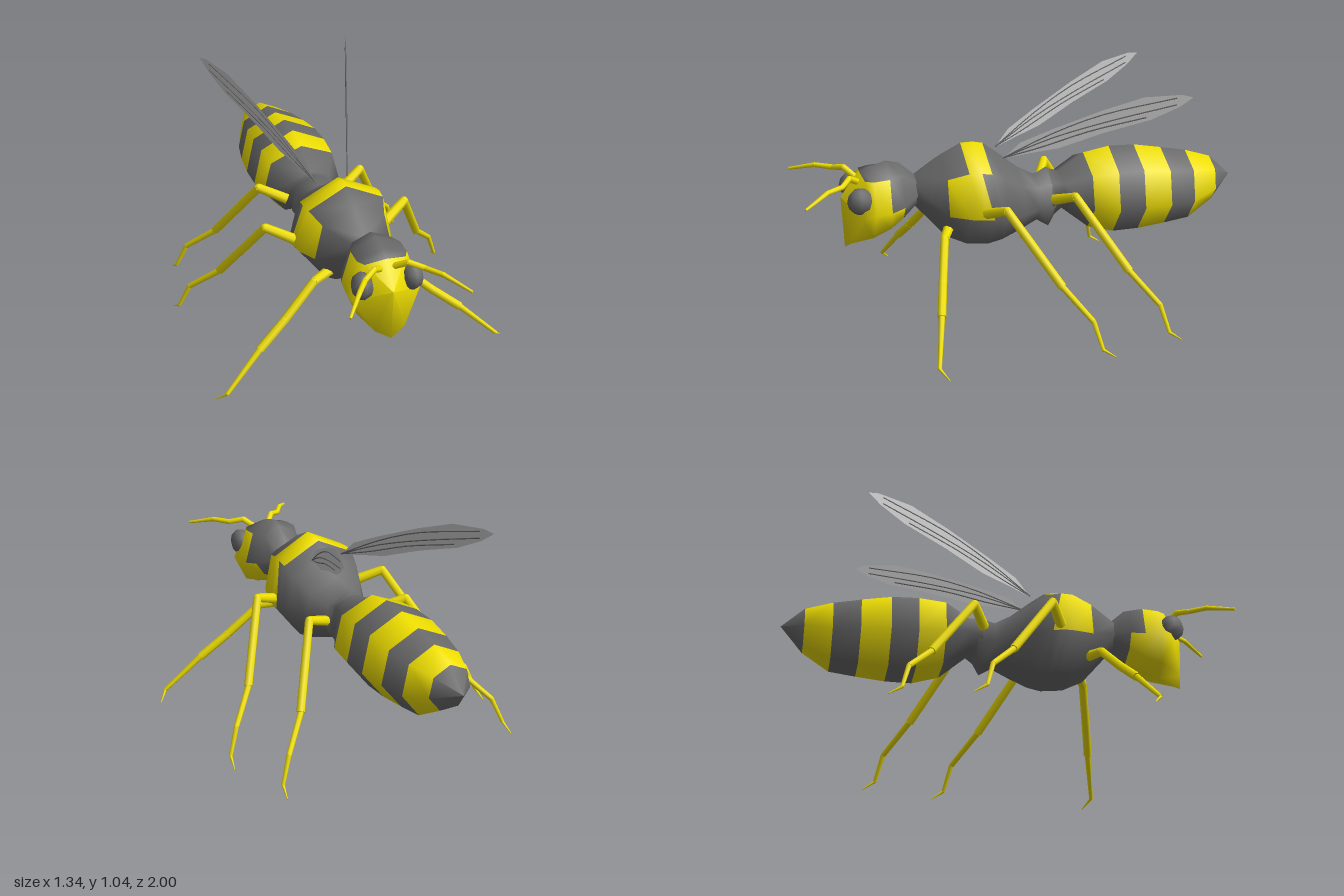
import * as THREE from 'three';

const DARK = new THREE.MeshStandardMaterial({ color: 0x6b6b6b });
const YELLOW = new THREE.MeshStandardMaterial({ color: 0xf0e000 });
const WING = new THREE.MeshStandardMaterial({ color: 0xcccccc, side: THREE.DoubleSide });
const V = (a) => new THREE.Vector3(...a);

// Skin over rings that run from back to front, smooth, with two colours.
// isYellow(ring, facet, k): facet counts down from the top, k = 1 is the front lower triangle.
function loft(name, rings, isYellow) {
  const n = rings[0].length;
  const lists = [[], []];
  for (let i = 0; i < rings.length - 1; i++) {
    for (let j = 0; j < n; j++) {
      const a = i * n + j, c = i * n + (j + 1) % n, b = a + n, d = c + n;
      const tris = j < n / 2 ? [[a, b, c], [b, d, c]] : [[a, d, c], [a, b, d]];
      tris.forEach((t, k) => lists[isYellow(i, Math.min(j, n - 1 - j), k) ? 1 : 0].push(...t));
    }
  }
  const geo = new THREE.BufferGeometry();
  geo.setAttribute('position', new THREE.Float32BufferAttribute(rings.flat(2), 3));
  geo.setIndex([...lists[0], ...lists[1]]);
  geo.addGroup(0, lists[0].length, 0);
  geo.addGroup(lists[0].length, lists[1].length, 1);
  geo.computeVertexNormals();
  const mesh = new THREE.Mesh(geo, [DARK, YELLOW]);
  mesh.name = name;
  return mesh;
}

// Seven-sided ring with a corner on top
function heptagon([z, top, bottom, halfWidth]) {
  const ry = (top - bottom) / 1.901, rx = halfWidth / 0.975;
  return Array.from({ length: 7 }, (_, j) => {
    const t = j / 7 * Math.PI * 2;
    return [rx * Math.sin(t), top - ry + ry * Math.cos(t), z];
  });
}

// Ring from a right-hand half outline, top to bottom
const mirrorRing = (half) => [...half, ...half.slice(1, -1).reverse().map(([x, y, z]) => [-x, y, z])];

// Chain of tapered segments; radii holds [start, end] for each one
function limb(name, points, radii) {
  const group = new THREE.Group();
  group.name = name;
  radii.forEach(([r0, r1], i) => {
    const a = V(points[i]), b = V(points[i + 1]);
    const dir = b.clone().sub(a);
    const seg = new THREE.Mesh(new THREE.CylinderGeometry(r1, r0, dir.length(), 7), YELLOW);
    seg.position.copy(a).add(b).multiplyScalar(0.5);
    seg.quaternion.setFromUnitVectors(new THREE.Vector3(0, 1, 0), dir.normalize());
    seg.name = 'segment';
    group.add(seg);
    if (i > 0) {
      const joint = new THREE.Mesh(new THREE.SphereGeometry(r0, 7, 5), YELLOW);
      joint.position.copy(a);
      joint.name = 'joint';
      group.add(joint);
    }
  });
  return group;
}

// Thin upright wing leaning outward, with raised veins
function wing() {
  const group = new THREE.Group();
  group.name = 'wing';
  const place = ([z, y]) => [0.07 + (0.11 - z) * 0.37, y, z];
  const outline = [[0.1, 0.735], [0.03, 0.81], [-0.1, 0.875], [-0.3, 0.965], [-0.47, 1.03], [-0.62, 1.045],
    [-0.665, 1.035], [-0.61, 0.99], [-0.5, 0.93], [-0.31, 0.865], [-0.13, 0.79], [-0.02, 0.765]];
  const geo = new THREE.ShapeGeometry(new THREE.Shape(outline.map((p) => new THREE.Vector2(...p))));
  const pos = geo.attributes.position;
  for (let i = 0; i < pos.count; i++) pos.setXYZ(i, ...place([pos.getX(i), pos.getY(i)]));
  geo.computeVertexNormals();
  const blade = new THREE.Mesh(geo, WING);
  blade.name = 'wingBlade';
  group.add(blade);
  const veins = [
    [[0.1, 0.738], [-0.1, 0.855], [-0.3, 0.945], [-0.6, 1.03]],
    [[0.1, 0.738], [-0.1, 0.835], [-0.32, 0.915], [-0.6, 1.0]],
    [[0.1, 0.738], [-0.05, 0.79], [-0.25, 0.87], [-0.48, 0.94]],
  ];
  for (const vein of veins) {
    const curve = new THREE.CatmullRomCurve3(vein.map((p) => V(place(p))));
    const mesh = new THREE.Mesh(new THREE.TubeGeometry(curve, 10, 0.003, 4), DARK);
    mesh.name = 'wingVein';
    group.add(mesh);
  }
  return group;
}

// Everything that comes in pairs, built on the +x side
function sideParts() {
  const group = new THREE.Group();
  const legRadii = [[0.024, 0.02], [0.019, 0.019], [0.014, 0.012], [0.011, 0.008], [0.007, 0.002]];
  const rearLeg = [[0.13, 0.54, -0.12], [0.245, 0.59, -0.18], [0.4, 0.28, -0.38], [0.515, 0.155, -0.485],
    [0.56, 0.04, -0.515], [0.57, 0.003, -0.57]];
  group.add(
    limb('frontLeg', [[0.09, 0.45, 0.35], [0.19, 0.435, 0.395], [0.34, 0.3, 0.44], [0.465, 0.2, 0.475],
      [0.63, 0.045, 0.525], [0.67, 0.003, 0.49]], [[0.024, 0.02], [0.019, 0.019], [0.019, 0.019], [0.014, 0.009], [0.007, 0.002]]),
    limb('middleLeg', rearLeg.map(([x, y, z]) => [x + 0.08, y, z + 0.33]), legRadii),
    limb('hindLeg', rearLeg, legRadii),
    limb('antenna', [[0.025, 0.67, 0.73], [0.075, 0.71, 0.78], [0.13, 0.695, 0.82], [0.18, 0.695, 0.89],
      [0.26, 0.66, 0.995]], [[0.014, 0.014], [0.013, 0.012], [0.012, 0.011], [0.011, 0.006]]),
    wing(),
  );
  const eye = new THREE.Mesh(new THREE.SphereGeometry(1, 8, 6), DARK);
  eye.scale.set(0.047, 0.06, 0.057);
  eye.position.set(0.11, 0.615, 0.742);
  eye.name = 'eye';
  group.add(eye);
  return group;
}

export function createModel() {
  const model = new THREE.Group();
  model.name = 'wasp';

  // Striped abdomen: z, top, bottom, half width
  const abdomen = [[-1, 0.53, 0.53, 0], [-0.9, 0.625, 0.43, 0.1], [-0.78, 0.665, 0.36, 0.15], [-0.66, 0.69, 0.35, 0.175],
    [-0.53, 0.715, 0.34, 0.19], [-0.41, 0.72, 0.34, 0.192], [-0.29, 0.7, 0.375, 0.185], [-0.175, 0.625, 0.465, 0.115],
    [-0.11, 0.645, 0.41, 0.105]];
  model.add(loft('abdomen', abdomen.map(heptagon), (i) => i % 2 === 1 && i < 6));

  // Waist and thorax, with a yellow saddle and side patches
  const thorax = [[-0.175, 0.6, 0.49, 0.09], [-0.115, 0.65, 0.385, 0.11], [-0.06, 0.62, 0.42, 0.11], [0.02, 0.665, 0.39, 0.155],
    [0.11, 0.74, 0.36, 0.2], [0.175, 0.79, 0.35, 0.218], [0.22, 0.8, 0.355, 0.22], [0.275, 0.8, 0.36, 0.212],
    [0.365, 0.755, 0.4, 0.175], [0.49, 0.67, 0.54, 0.07]];
  model.add(loft('thorax', thorax.map(heptagon), (i, facet, k) =>
    (facet === 0 && (i === 5 || i === 6)) || (facet === 1 && ((i === 5 && k === 1) || i === 6 || i === 7))));

  // Head with a pointed yellow face
  const head = [
    [[0, 0.67, 0.48], [0.05, 0.65, 0.48], [0.07, 0.6, 0.48], [0.05, 0.56, 0.48], [0, 0.54, 0.48]],
    [[0, 0.735, 0.55], [0.08, 0.7, 0.55], [0.125, 0.57, 0.55], [0.085, 0.51, 0.55], [0, 0.475, 0.55]],
    [[0, 0.75, 0.61], [0.11, 0.7, 0.61], [0.15, 0.56, 0.61], [0.1, 0.47, 0.61], [0, 0.435, 0.61]],
    [[0, 0.73, 0.68], [0.11, 0.695, 0.68], [0.157, 0.555, 0.68], [0.11, 0.44, 0.69], [0, 0.405, 0.7]],
    [[0, 0.71, 0.725], [0.09, 0.695, 0.715], [0.15, 0.545, 0.735], [0.065, 0.405, 0.785], [0, 0.367, 0.8]],
    Array(5).fill([0, 0.6, 0.81]),
  ];
  model.add(loft('head', head.map(mirrorRing), (i, facet) =>
    i === 4 || (facet === 1 && i >= 2) || (facet >= 2 && i >= 1)));

  // Paired parts, mirrored
  const left = sideParts();
  left.name = 'leftSide';
  const right = sideParts();
  right.name = 'rightSide';
  right.scale.x = -1;
  model.add(left, right);
  return model;
}
